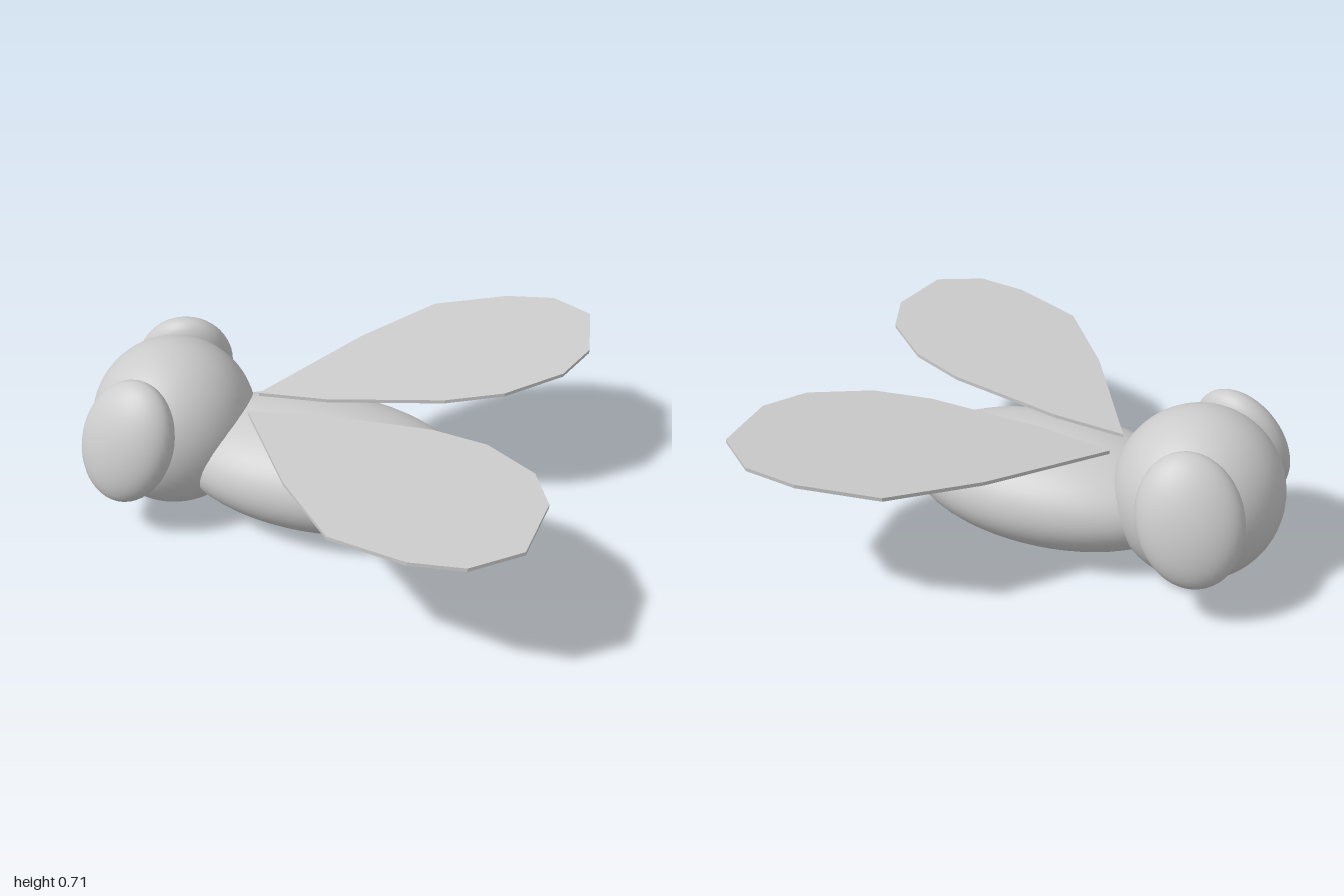
import * as THREE from 'three';

const material = new THREE.MeshStandardMaterial({ color: 0xcccccc });

function add(group, name, geometry, x, y, z) {
  const mesh = new THREE.Mesh(geometry, material);
  mesh.name = name;
  mesh.position.set(x, y, z);
  group.add(mesh);
}

function ellipsoid(rx, ry, rz) {
  return new THREE.SphereGeometry(1, 48, 32).scale(rx, ry, rz);
}

// Slanted ellipsoid: top leans back and in towards the head
function eyeGeometry(side) {
  return new THREE.SphereGeometry(1, 40, 28).applyMatrix4(new THREE.Matrix4().set(
    0.21, 0, 0, 0,
    0.048, 0.248, 0, 0,
    side * 0.02, side * -0.064, 0.123, 0,
    0, 0, 0, 1));
}

// Wing outline as [x, distance from the middle], root first
const wingOutline = [
  [-0.3, 0.073], [0.01, 0.565], [0.27, 0.875], [0.58, 0.975], [0.79, 0.975], [0.965, 0.85],
  [1, 0.555], [0.92, 0.362], [0.71, 0.188], [0.48, 0.11], [0, 0.06],
];

function wingGeometry(side) {
  const shape = new THREE.Shape(wingOutline.map(([x, z]) => new THREE.Vector2(x, side * z)));
  const geometry = new THREE.ExtrudeGeometry(shape, { depth: 0.015, bevelEnabled: false });
  geometry.rotateX(Math.PI / 2);
  // Rise towards the tip and the outer edge
  return geometry.applyMatrix4(new THREE.Matrix4().set(
    1, 0, 0, 0,
    0.103, 1, side * 0.035, 0,
    0, 0, 1, 0,
    0, 0, 0, 1));
}

export function createModel() {
  const group = new THREE.Group();
  group.name = 'fly';
  add(group, 'head', ellipsoid(0.346, 0.356, 0.356), -0.654, 0.36, 0);
  add(group, 'body', ellipsoid(0.632, 0.247, 0.37), -0.01, 0.267, 0);
  for (const side of [1, -1]) {
    const label = side > 0 ? 'front' : 'back';
    add(group, label + 'Eye', eyeGeometry(side), -0.73, 0.438, side * 0.327 - 0.007);
    add(group, label + 'Wing', wingGeometry(side), 0, 0.533, -0.005);
  }
  return group;
}
